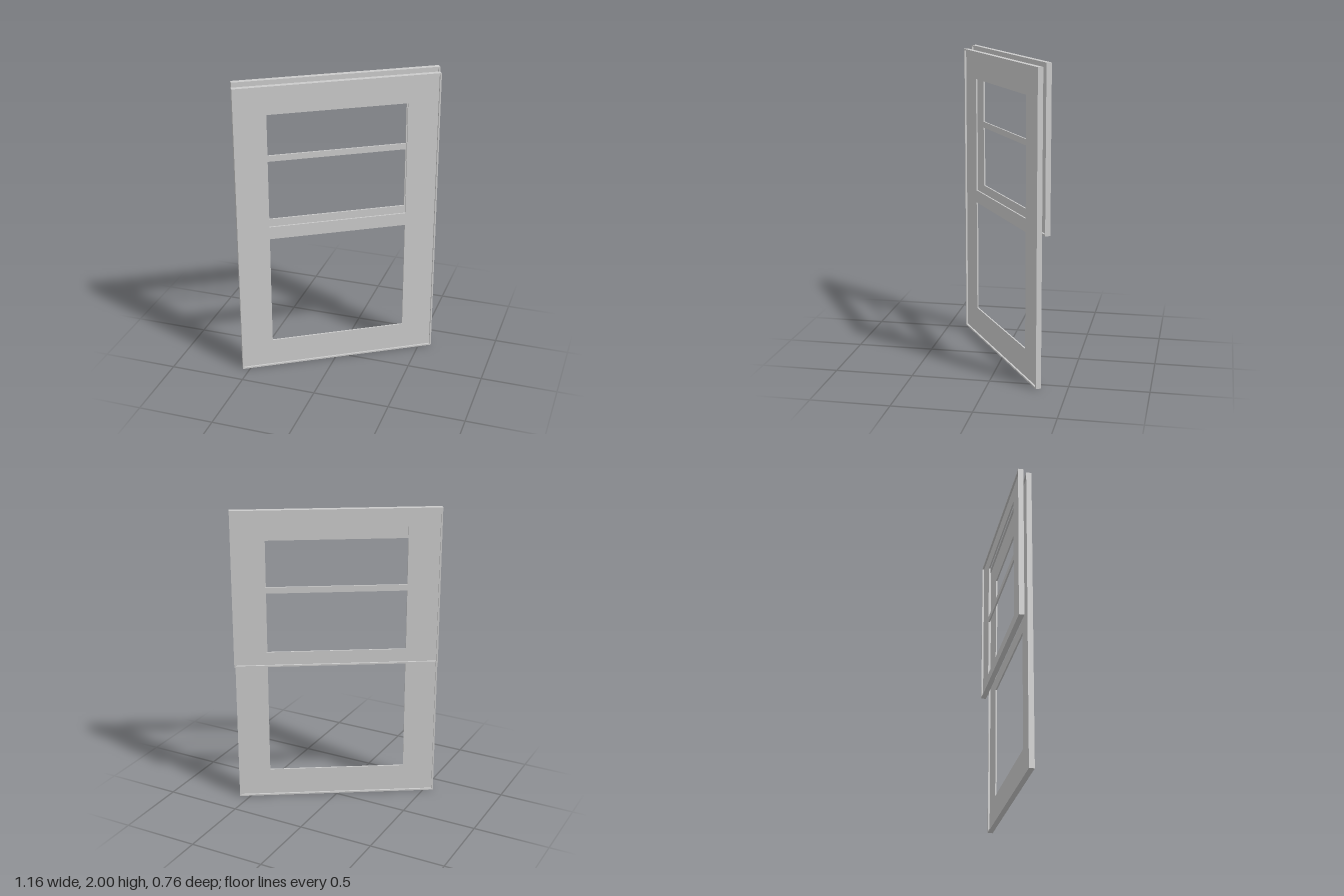
import * as THREE from 'three';

const WIDTH = 1.318;      // overall sash width
const RIM = 0.01;         // width of the raised border
const RIM_DEPTH = 0.034;
const SLAB_DEPTH = 0.01;  // recessed board inside the border
const OPENING = 0.9;      // width of the window openings

const material = new THREE.MeshStandardMaterial({ color: 0xcccccc });

function rectangle(Kind, halfWidth, y0, y1) {
  const r = new Kind();
  r.moveTo(-halfWidth, y0);
  r.lineTo(halfWidth, y0);
  r.lineTo(halfWidth, y1);
  r.lineTo(-halfWidth, y1);
  r.closePath();
  return r;
}

// Flat board with rectangular holes, centred on its depth
function board(name, halfWidth, y0, y1, holes, depth) {
  const shape = rectangle(THREE.Shape, halfWidth, y0, y1);
  for (const [hw, a, b] of holes) shape.holes.push(rectangle(THREE.Path, hw, a, b));
  const geometry = new THREE.ExtrudeGeometry(shape, { depth, bevelEnabled: false });
  geometry.translate(0, 0, -depth / 2);
  const mesh = new THREE.Mesh(geometry, material);
  mesh.name = name;
  return mesh;
}

// A sash: raised rim around a thinner board with openings
function sash(name, y0, y1, openings) {
  const group = new THREE.Group();
  group.name = name;
  const half = WIDTH / 2;
  const inner = half - RIM;
  group.add(
    board(name + 'Rim', half, y0, y1, [[inner, y0 + RIM, y1 - RIM]], RIM_DEPTH),
    board(name + 'Panel', inner, y0 + RIM, y1 - RIM,
      openings.map(([a, b]) => [OPENING / 2, a, b]), SLAB_DEPTH)
  );
  return group;
}

export function createModel() {
  const model = new THREE.Group();
  model.name = 'slidingWindow';

  // Tall front sash with two openings
  const front = sash('frontSash', 0, 1.975, [[0.19, 0.945], [1.03, 1.79]]);
  front.position.set(-0.003, 0, 0.0245);

  // Short rear sash, its opening split by a crossbar
  const back = sash('backSash', 0.965, 2, [[1.062, 1.46], [1.5, 1.89]]);
  back.position.set(0.003, 0, -0.0265);

  // Both sashes stand at an angle
  const assembly = new THREE.Group();
  assembly.name = 'sashes';
  assembly.add(front, back);
  assembly.rotation.y = THREE.MathUtils.degToRad(31.5);
  model.add(assembly);
  return model;
}
